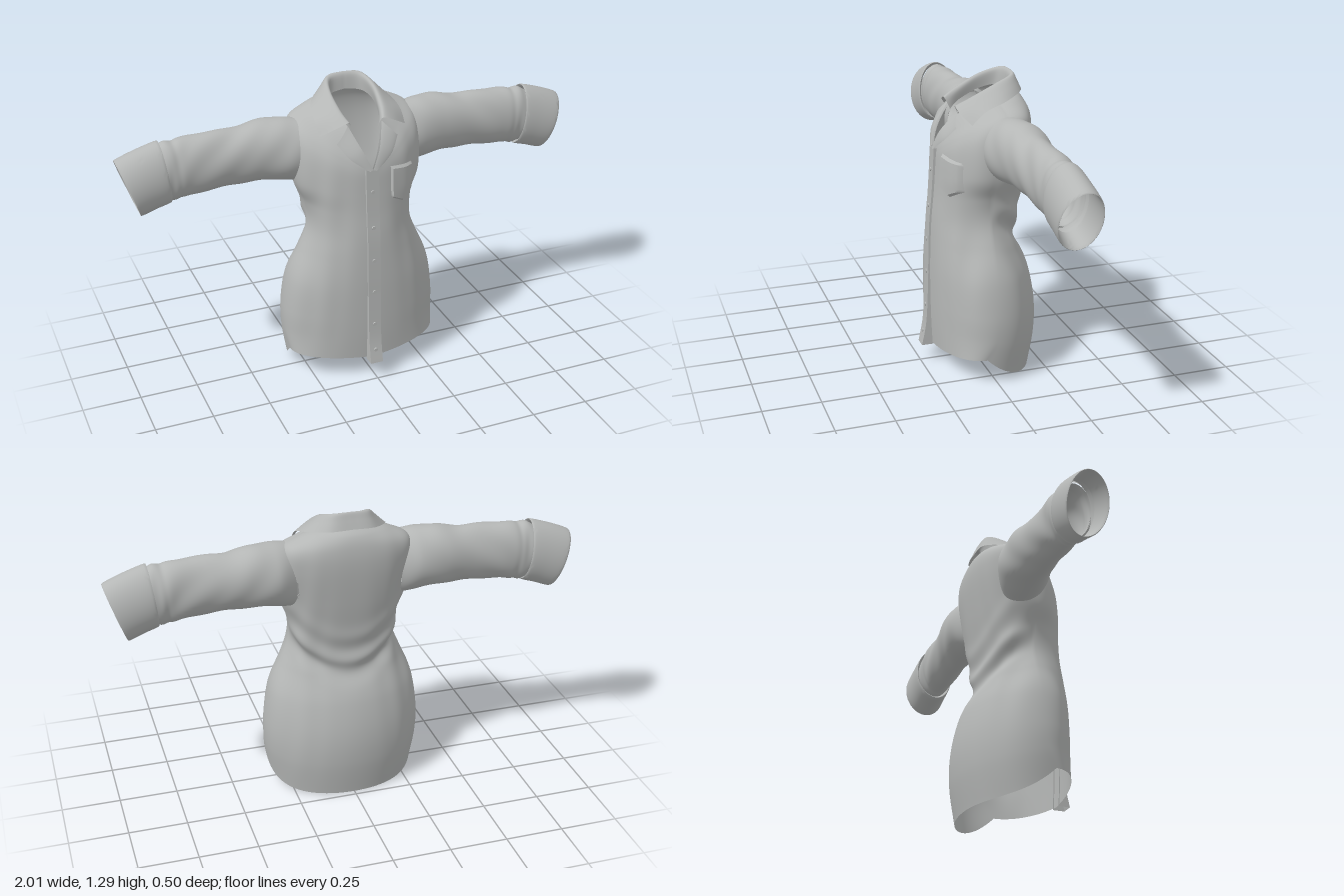
import * as THREE from 'three';
import { toCreasedNormals } from 'three/addons/utils/BufferGeometryUtils.js';

const cloth = new THREE.MeshStandardMaterial({ color: 0xb5b7b6, side: THREE.DoubleSide });
cloth.name = 'grey cloth';

// Smooth interpolation through rows of numbers, t from 0 to 1
function sample(rows, t) {
  const n = rows.length - 1;
  const i = Math.min(Math.floor(t * n), n - 1), f = t * n - i;
  const r = k => rows[Math.max(0, Math.min(n, k))];
  return rows[i].map((b, k) => {
    const a = r(i - 1)[k], c = r(i + 1)[k], d = r(i + 2)[k];
    return b + 0.5 * f * (c - a + f * (2 * a - 5 * b + 4 * c - d + f * (3 * (b - c) + d - a)));
  });
}

// Grid surface from a point function of u and v, leaving out cells that lie in a hole
function loft(nu, nv, fn, closed = false, inHole = () => false) {
  const pos = [], index = [], cols = closed ? nv : nv + 1;
  for (let i = 0; i <= nu; i++)
    for (let j = 0; j < cols; j++) pos.push(...fn(i / nu, j / nv));
  for (let i = 0; i < nu; i++)
    for (let j = 0; j < nv; j++) {
      const a = i * cols + j, b = i * cols + (j + 1) % cols, c = a + cols, d = b + cols;
      if (!inHole(pos[3 * a], pos[3 * a + 1], pos[3 * a + 2])) index.push(a, b, d, a, d, c);
    }
  const g = new THREE.BufferGeometry();
  g.setAttribute('position', new THREE.Float32BufferAttribute(pos, 3));
  g.setIndex(index);
  g.computeVertexNormals();
  return g;
}

const bump = (x, w) => Math.exp(-(x * x) / (w * w));

// Torso rings: y front, y side, y back, half width, z front, z back, z side, front and back roundness
const torsoRows = [
  [0.085, 0.12, 0.00, 0.335, 0.200, -0.225, 0.05, 2.1, 2.1],
  [0.20, 0.20, 0.16, 0.345, 0.205, -0.250, 0.01, 2.1, 2.05],
  [0.31, 0.31, 0.30, 0.345, 0.207, -0.250, 0.00, 2.1, 2.0],
  [0.45, 0.45, 0.44, 0.322, 0.207, -0.222, 0.00, 2.1, 2.0],
  [0.59, 0.59, 0.56, 0.268, 0.203, -0.175, 0.00, 2.1, 2.1],
  [0.68, 0.70, 0.64, 0.235, 0.198, -0.157, 0.00, 2.1, 2.2],
  [0.78, 0.80, 0.75, 0.240, 0.188, -0.172, 0.00, 2.1, 2.3],
  [0.86, 0.90, 0.90, 0.270, 0.182, -0.195, 0.00, 2.0, 2.5],
  [0.92, 1.04, 1.05, 0.285, 0.178, -0.210, -0.03, 1.9, 2.7],
  [0.95, 1.13, 1.14, 0.275, 0.176, -0.207, -0.06, 1.7, 2.5],
  [0.965, 1.175, 1.195, 0.20, 0.175, -0.188, -0.06, 1.6, 2.1],
  [0.98, 1.205, 1.225, 0.10, 0.175, -0.150, -0.04, 1.6, 2],
];

function torsoPoint(u, v) {
  const [yF, yS, yB, hw, zF, zB, zS, eF, eB] = sample(torsoRows, u);
  const s = Math.sin(v * 2 * Math.PI), c = Math.cos(v * 2 * Math.PI);
  const p = 2 / (c > 0 ? eF : eB);
  const sx = Math.abs(s) ** p, cz = Math.abs(c) ** p;
  const x = Math.sign(s) * hw * sx;
  const y = c > 0 ? yF + (yS - yF) * sx : yB + (yS - yB) * (1 - cz) ** 2.3;
  const z = zS + ((c > 0 ? zF : zB) - zS) * cz;
  // long soft folds, and the cloth pouching over the lower back
  let w = 0.005 * Math.sin(u * Math.PI) * s * s * Math.sin(60 * Math.abs(x) + 5 * y);
  if (c < 0) {
    const h = y - 0.625 - 2.4 * x * x;
    w += Math.min(1, -c * 2) * (0.014 * bump(h, 0.035) - 0.012 * bump(h + 0.065, 0.04) + 0.006 * bump(h - 0.11, 0.04));
  }
  return [x + w * s, y, z + w * c];
}
const inArmhole = (x, y, z) =>
  Math.abs(x) > 0.22 && ((y - 1.005) / 0.125) ** 2 + ((z + 0.065) / 0.09) ** 2 < 1;

// Sleeve and cuff rings: top x, top y, bottom x, bottom y, z front, z back
const sleeveRows = [
  [0.225, 1.15, 0.225, 0.865, 0.045, -0.155],
  [0.31, 1.16, 0.29, 0.885, 0.042, -0.187],
  [0.42, 1.155, 0.42, 0.90, 0.02, -0.185],
  [0.55, 1.145, 0.55, 0.895, 0.005, -0.168],
  [0.70, 1.135, 0.69, 0.885, 0.00, -0.165],
  [0.79, 1.13, 0.77, 0.875, -0.003, -0.165],
  [0.84, 1.11, 0.815, 0.88, -0.01, -0.16],
];
const cuffRows = [
  [0.84, 1.115, 0.805, 0.88, -0.01, -0.16],
  [0.825, 1.135, 0.79, 0.865, 0.003, -0.172],
  [0.91, 1.11, 0.85, 0.845, 0.004, -0.177],
  [0.993, 1.078, 0.91, 0.824, 0.003, -0.18],
  [0.988, 1.072, 0.907, 0.832, -0.005, -0.172],
  [0.88, 1.10, 0.83, 0.865, -0.012, -0.16],
];
function tubeRing(rows, side, wrinkle) {
  return (u, v) => {
    const [tx, ty, bx, by, zF, zB] = sample(rows, u);
    const a = v * 2 * Math.PI, k = 1 + wrinkle(u, a);
    const c = Math.cos(a) * k / 2, s = Math.sin(a) * k / 2;
    return [side * ((tx + bx) / 2 + (tx - bx) * c), (ty + by) / 2 + (ty - by) * c, (zF + zB) / 2 - (zB - zF) * s];
  };
}
// Slanting creases, with bunching just above the cuff
const sleeveCreases = (u, a) => Math.sin(u * Math.PI) * (
  0.04 * Math.sin(16 * u + 4 * Math.cos(a)) * (0.6 + 0.4 * Math.sin(a + 4 * u)) +
  0.018 * Math.sin(31 * u + 5 * Math.cos(a + 0.5))) +
  0.05 * bump(u - 0.86, 0.05) * Math.sin(2 * a + 1) - 0.03 * bump(u - 0.78, 0.03);

// Half collar: band base, band, fold, fall and outer edge, each from centre back to front
const collarCurves = [
  [[0, 1.22, -0.135], [0.07, 1.21, -0.12], [0.095, 1.19, -0.05], [0.085, 1.15, 0.04], [0.06, 1.12, 0.085]],
  [[0, 1.275, -0.142], [0.065, 1.27, -0.128], [0.09, 1.24, -0.05], [0.082, 1.19, 0.045], [0.066, 1.155, 0.10]],
  [[0, 1.29, -0.157], [0.075, 1.284, -0.145], [0.105, 1.255, -0.06], [0.10, 1.205, 0.045], [0.08, 1.17, 0.108]],
  [[0, 1.262, -0.17], [0.085, 1.255, -0.16], [0.14, 1.227, -0.075], [0.145, 1.187, 0.03], [0.13, 1.148, 0.10]],
  [[0, 1.225, -0.185], [0.095, 1.22, -0.175], [0.168, 1.198, -0.09], [0.19, 1.165, 0.01], [0.19, 1.112, 0.07]],
];
const lapelCurves = [
  [[0, 0.98, 0.186], [0.04, 1.065, 0.158], [0.075, 1.15, 0.09]],
  [[0.015, 0.975, 0.188], [0.09, 1.03, 0.162], [0.135, 1.09, 0.12]],
];

export function createModel() {
  const model = new THREE.Group();
  model.name = 'shirt';
  const add = (name, geometry) => {
    const mesh = new THREE.Mesh(geometry, cloth);
    mesh.name = name;
    model.add(mesh);
    return mesh;
  };

  const torso = add('torso', loft(110, 160, torsoPoint, true, inArmhole));

  // Front surface of the torso at x, y
  const ray = new THREE.Raycaster();
  const frontZ = (x, y) => {
    ray.set(new THREE.Vector3(x, y, 1), new THREE.Vector3(0, 0, -1));
    const hit = ray.intersectObject(torso)[0];
    return hit ? hit.point.z : -1;
  };
  const above = ([x, y, z], gap) => {
    const front = frontZ(x, y);
    return [x, y, front > 0 ? Math.max(z, front + gap) : z];
  };

  for (const side of [1, -1]) {
    const label = side > 0 ? 'left' : 'right';
    add(label + 'Sleeve', loft(90, 56, tubeRing(sleeveRows, side, sleeveCreases), true));
    add(label + 'Cuff', toCreasedNormals(
      loft(30, 56, tubeRing(cuffRows, side, (u, a) => 0.012 * Math.sin(3 * a + 4 * u)), true), 0.8));
    add(label + 'Lapel', loft(14, 8, (u, v) => {
      const p = sample(lapelCurves.map(c => sample(c, u)), v);
      p[2] += 0.008 * Math.sin(v * Math.PI) * u;
      const [x, y, z] = above(p, 0.008);
      return [side * x, y, z];
    }));
  }

  add('collar', loft(48, 20, (u, v) => {
    const t = 2 * u - 1;
    let p = sample(collarCurves.map(c => sample(c, Math.abs(t))), v);
    if (v > 0.55 && p[2] > 0) p = above(p, 0.01);
    return [t < 0 ? -p[0] : p[0], p[1], p[2]];
  }));

  // Button placket, flaring forward at the hem, with sides reaching back to the torso
  const placketRows = [[0.98, 0.184], [0.8, 0.195], [0.6, 0.21], [0.4, 0.216], [0.2, 0.226], [0.08, 0.248]];
  const placketZ = (y, z) => above([0, y, z], 0.008)[2];
  const edge = [-0.032, -0.031, 0.025, 0.026];
  add('placket', toCreasedNormals(loft(50, 3, (u, v) => {
    const [y, z] = sample(placketRows, u);
    const k = Math.round(v * 3), x = edge[k];
    const onSide = k === 0 || k === 3;
    return [x, y, onSide ? frontZ(x, Math.max(0.1, Math.min(0.95, y))) - 0.004 : placketZ(y, z)];
  }), 0.7));

  const buttons = new THREE.Group();
  buttons.name = 'buttons';
  model.add(buttons);
  const buttonShape = new THREE.CylinderGeometry(0.008, 0.009, 0.006, 16).rotateX(Math.PI / 2);
  for (const t of [0.12, 0.28, 0.43, 0.58, 0.73, 0.88]) {
    const [y, z] = sample(placketRows, t);
    const button = new THREE.Mesh(buttonShape, cloth);
    button.name = 'button';
    button.position.set(-0.004, y, placketZ(y, z) + 0.001);
    buttons.add(button);
  }

  // Chest pocket with a pointed bottom
  add('chestPocket', toCreasedNormals(loft(14, 14, (u, v) => {
    const x = 0.085 + 0.122 * v;
    const top = 0.975 - 0.015 * v, bottom = 0.80 + 0.07 * Math.abs(v - 0.5);
    const y = top + (bottom - top) * u;
    const rim = u === 0 || u === 1 || v === 0 || v === 1;
    return [x, y, frontZ(x, y) + (rim ? -0.002 : 0.011)];
  }), 0.6));

  return model;
}
